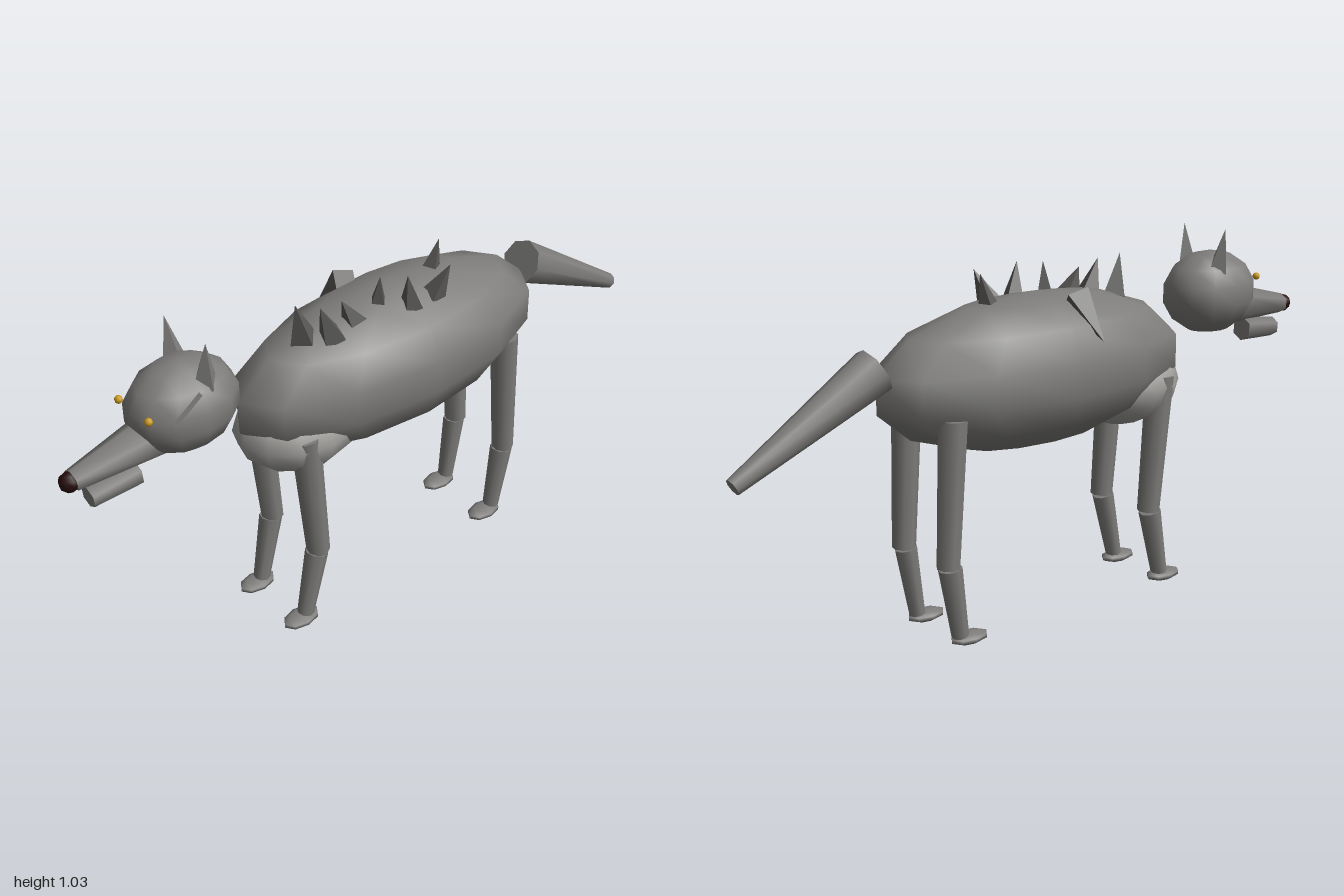
import * as THREE from 'three';

const mat = (name, color) => {
  const m = new THREE.MeshStandardMaterial({ color });
  m.name = name;
  return m;
};

export function createModel() {
  const model = new THREE.Group();
  model.name = 'wolf';
  const fur = mat('grey fur', 0x7d7c7a);
  const paleFur = mat('pale chest fur', 0x9f9e9b);
  const darkFur = mat('dark bristle fur', 0x5a5957);
  const noseSkin = mat('nose', 0x260c0c);
  const amber = mat('amber eye', 0xc8981c);

  const add = (name, geometry, material, parent = model) => {
    const mesh = new THREE.Mesh(geometry, material);
    mesh.name = name;
    parent.add(mesh);
    return mesh;
  };

  // Low-poly ellipsoid with smooth normals
  const blob = (name, [x, y, z], [rx, ry, rz], material, w = 12, h = 7, parent = model) => {
    const g = new THREE.SphereGeometry(1, w, h).scale(rx, ry, rz);
    return add(name, g, material, parent).position.set(x, y, z);
  };

  // Tapered limb between two points; a zero end radius makes a faceted spike
  const limb = (name, from, to, r0, r1, sides, material, parent = model, turn = 0) => {
    const a = new THREE.Vector3(...from), b = new THREE.Vector3(...to);
    const axis = b.clone().sub(a);
    let g = new THREE.CylinderGeometry(r1, r0, axis.length(), sides).rotateY(turn);
    if (r1 === 0) {
      g = g.toNonIndexed();
      g.computeVertexNormals();
    }
    const mesh = add(name, g, material, parent);
    mesh.position.copy(a).add(b).multiplyScalar(0.5);
    mesh.quaternion.setFromUnitVectors(new THREE.Vector3(0, 1, 0), axis.normalize());
    return mesh;
  };

  // Torso, chest patch and tail
  blob('body', [0, 0.705, -0.05], [0.214, 0.215, 0.533], fur);
  blob('chest', [0, 0.61, 0.28], [0.155, 0.12, 0.185], paleFur, 12, 8);
  limb('tail', [0, 0.777, -0.572], [0, 0.552, -0.988], 0.066, 0.024, 8, fur);

  // Head, snout and jaw
  const head = new THREE.Group();
  head.name = 'head';
  model.add(head);
  blob('skull', [0, 0.835, 0.638], [0.122, 0.126, 0.158], fur, 12, 7, head);
  limb('snout', [0, 0.785, 0.72], [0, 0.757, 0.965], 0.064, 0.03, 6, fur, head);
  limb('lowerJaw', [0, 0.698, 0.79], [0, 0.687, 0.928], 0.037, 0.03, 6, fur, head);
  blob('nose', [0, 0.757, 0.973], [0.027, 0.027, 0.027], noseSkin, 8, 6, head);
  limb('cheekScar', [0.108, 0.862, 0.735], [0.108, 0.92, 0.652], 0.008, 0.008, 4, fur, head);

  // Eyes and ears
  for (const s of [1, -1]) {
    const side = s > 0 ? 'left' : 'right';
    blob(side + 'Eye', [s * 0.064, 0.873, 0.777], [0.011, 0.011, 0.011], amber, 8, 6, head);
    limb(side + 'Ear', [s * 0.063, 0.908, 0.608], [s * 0.085, 1.035, 0.613],
      0.036, 0, 4, fur, head);
  }

  // Legs: z positions of the hip, knee, ankle and foot
  for (const [pair, hip, knee, ankle, foot] of [
    ['front', 0.337, 0.302, 0.353, 0.37],
    ['back', -0.405, -0.427, -0.39, -0.36],
  ]) {
    for (const s of [1, -1]) {
      const leg = new THREE.Group();
      leg.name = pair + (s > 0 ? 'LeftLeg' : 'RightLeg');
      model.add(leg);
      limb('upperLeg', [s * 0.105, 0.64, hip], [s * 0.103, 0.235, knee], 0.041, 0.033, 8, fur, leg);
      limb('lowerLeg', [s * 0.103, 0.233, knee + 0.006], [s * 0.101, 0.03, ankle],
        0.033, 0.024, 8, fur, leg);
      blob('paw', [s * 0.101, 0.019, foot], [0.037, 0.017, 0.061], fur, 8, 5, leg);
    }
  }

  // Bristles along the back: base, tip and base radius
  const bristles = [
    [[0.01, 0.865, 0.26], [0.025, 0.985, 0.293], 0.042],
    [[0.06, 0.865, 0.2], [0.06, 0.972, 0.24], 0.04],
    [[0.055, 0.875, 0.12], [0.05, 0.957, 0.16], 0.038],
    [[-0.088, 0.905, 0.03], [-0.2, 0.797, 0.035], 0.045],
    [[0.045, 0.885, 0.03], [0.06, 0.985, 0.035], 0.03],
    [[0.095, 0.88, -0.045], [0.105, 0.985, -0.022], 0.034],
    [[0.09, 0.88, -0.13], [0.122, 0.975, -0.16], 0.036],
    [[0, 0.88, -0.2], [0.012, 0.985, -0.222], 0.034],
  ];
  bristles.forEach(([base, tip, r], i) =>
    limb('bristle' + (i + 1), base, tip, r, 0, 4, darkFur, model, i * 0.4));

  return model;
}
